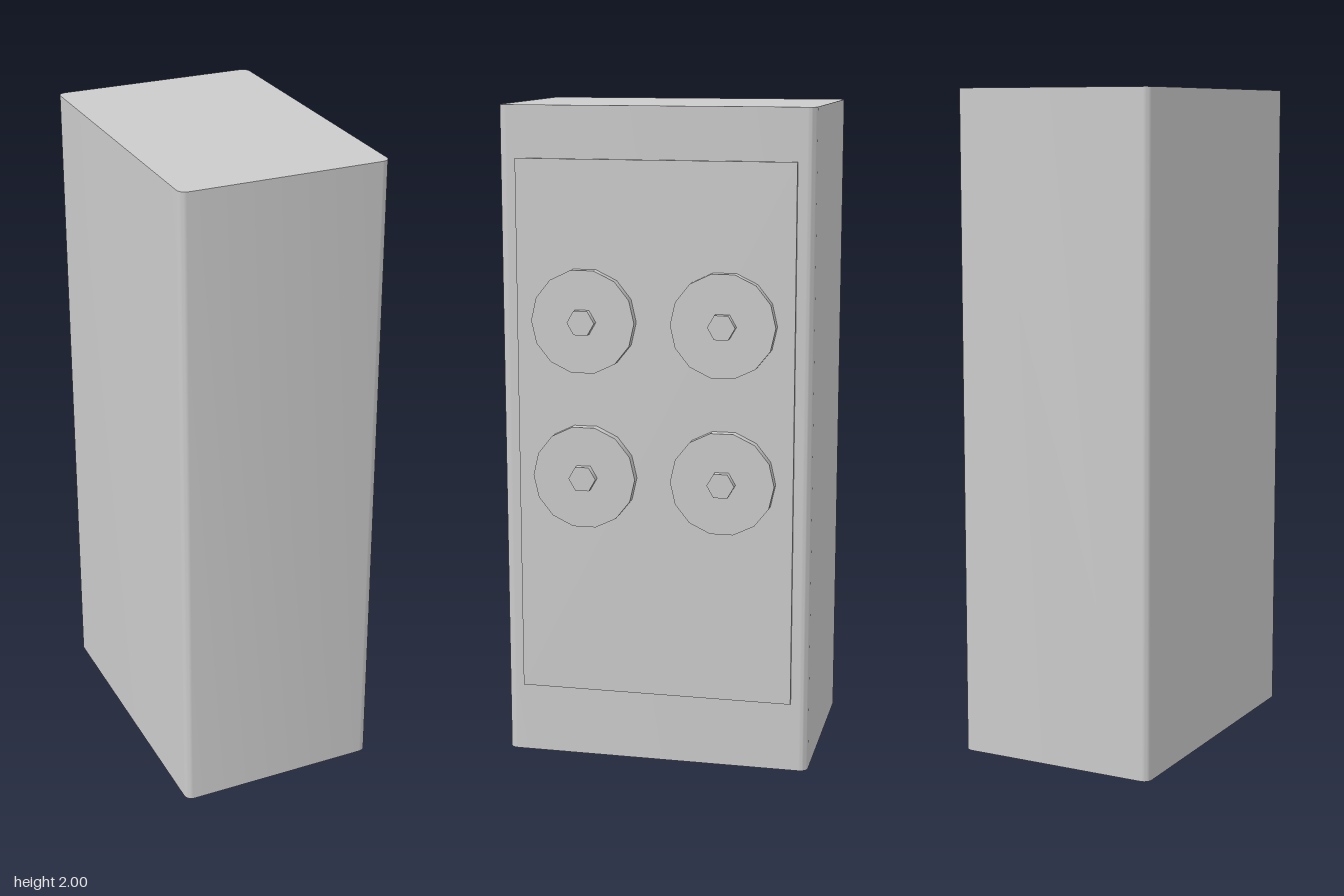
import * as THREE from 'three';
import { toCreasedNormals } from 'three/addons/utils/BufferGeometryUtils.js';

export function createModel() {
  const model = new THREE.Group();
  const material = new THREE.MeshStandardMaterial({ color: 0xcccccc });

  function add(parent, geometry, name, x, y, z) {
    const mesh = new THREE.Mesh(geometry, material);
    mesh.name = name;
    mesh.position.set(x, y, z);
    parent.add(mesh);
  }

  // Cabinet: upright box with rounded vertical edges
  const xMin = -0.346, xMax = 0.283, d = 0.472, r = 0.025;
  const outline = new THREE.Shape();
  outline.absarc(xMax - r, d - r, r, 0, Math.PI / 2);
  outline.absarc(xMin + r, d - r, r, Math.PI / 2, Math.PI);
  outline.absarc(xMin + r, -d + r, r, Math.PI, Math.PI * 1.5);
  outline.absarc(xMax - r, -d + r, r, Math.PI * 1.5, Math.PI * 2);
  const cabinet = new THREE.ExtrudeGeometry(outline, { depth: 2, bevelEnabled: false, curveSegments: 4 });
  cabinet.rotateX(-Math.PI / 2);
  add(model, toCreasedNormals(cabinet, 0.7), 'cabinet', 0, 0, 0);

  // Thin raised panel on the side
  add(model, new THREE.BoxGeometry(0.02, 1.63, 0.84), 'sidePanel', 0.283, 1.03, 0);

  // Four round drivers, each a disc with a hexagonal hub, facing +x
  const disc = new THREE.CylinderGeometry(0.157, 0.157, 0.03, 14).rotateZ(-Math.PI / 2);
  const hub = new THREE.CylinderGeometry(0.0415, 0.0415, 0.023, 6).rotateZ(-Math.PI / 2);
  for (const y of [0.897, 1.369]) {
    for (const z of [-0.211, 0.211]) {
      const driver = new THREE.Group();
      driver.name = 'driver';
      driver.position.set(0.293, y, z);
      add(driver, disc, 'disc', 0.015, 0, 0);
      add(driver, hub, 'hub', 0.0415, 0, 0);
      model.add(driver);
    }
  }
  return model;
}
